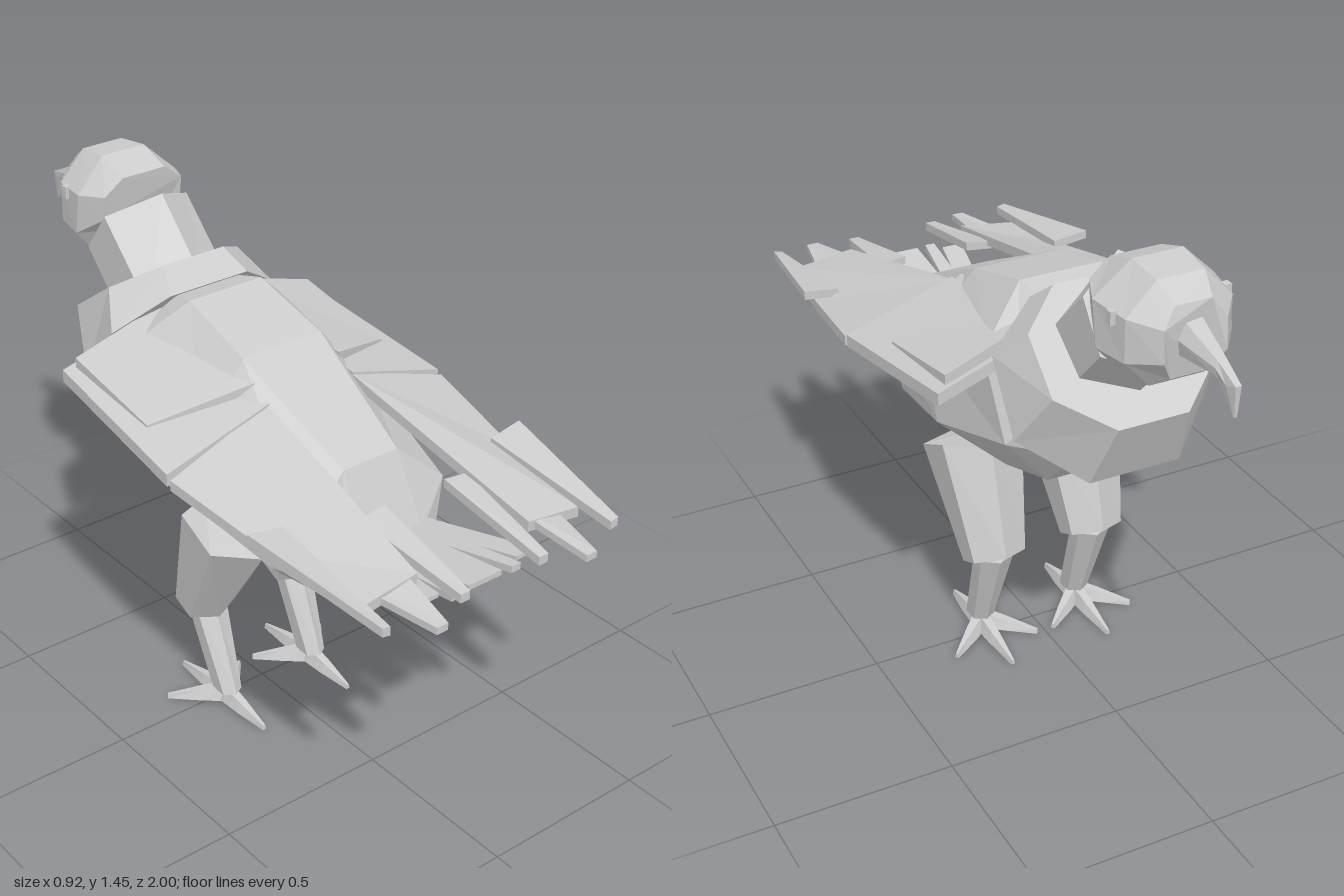
import * as THREE from 'three';

const grey = new THREE.MeshStandardMaterial({ color: 0xcccccc });
grey.name = 'light grey';

// Faceted solid through rings of [x, y, z] points, capped at both ends, turned outward
function loft(name, rings) {
  const n = rings[0].length, tris = [];
  for (let r = 0; r < rings.length - 1; r++) {
    for (let i = 0; i < n; i++) {
      const j = (i + 1) % n, a = rings[r], b = rings[r + 1];
      tris.push([a[i], a[j], b[j]], [a[i], b[j], b[i]]);
    }
  }
  const flat = (ring) => ring.map((p) => new THREE.Vector2(p[0], p[1] * 0.3 + p[2]));
  const cap = (ring, flip) => {
    const ccw = !THREE.ShapeUtils.isClockWise(flat(ring));
    for (const f of THREE.ShapeUtils.triangulateShape(flat(ring), [])) {
      const t = f.map((k) => ring[k]);
      // triangles follow the ring order when counter-clockwise
      const area = new THREE.Vector2(...[0, 0]);
      const [p, q, s] = f.map((k) => flat(ring)[k]);
      area.x = (q.x - p.x) * (s.y - p.y) - (q.y - p.y) * (s.x - p.x);
      const sameOrder = (area.x > 0) === ccw;
      tris.push(sameOrder !== flip ? t : t.reverse());
    }
  };
  cap(rings[0], true);
  cap(rings[rings.length - 1], false);
  const v = (p) => new THREE.Vector3(...p);
  const c = v(rings[0][0]);
  let volume = 0;
  for (const [a, b, d] of tris) {
    volume += v(a).sub(c).dot(v(b).sub(c).cross(v(d).sub(c)));
  }
  if (volume < 0) tris.forEach((t) => t.reverse());
  const g = new THREE.BufferGeometry();
  g.setAttribute('position', new THREE.Float32BufferAttribute(tris.flat(2), 3));
  g.computeVertexNormals();
  const mesh = new THREE.Mesh(g, grey);
  mesh.name = name;
  return mesh;
}

// Symmetric ring from half-profile points [z, y, halfWidth], top to bottom
const ring = (...rows) => [
  ...rows.map(([z, y, w]) => [w, y, z]),
  ...rows.slice().reverse().map(([z, y, w]) => [-w, y, z]),
];

// Hexagon with a ridge at the back and the front
const hex = (x, w, back, rear, fore, front) => [
  [x, back[1], back[0]], [x + w, rear[1], rear[0]], [x + w, fore[1], fore[0]],
  [x, front[1], front[0]], [x - w, fore[1], fore[0]], [x - w, rear[1], rear[0]],
];

// Thin plate below an outline of [x, y, z] points
const slab = (name, side, pts, t) => {
  const top = pts.map(([x, y, z]) => [x * side, y, z]);
  return loft(name, [top, top.map(([x, y, z]) => [x, y - t, z])]);
};

// Tapered toe from the ankle to a pointed tip
function toe(x, z, dx, dz) {
  const len = Math.hypot(dx, dz), nx = -dz / len, nz = dx / len;
  const section = (f, w, lo, hi) => {
    const px = x + dx * f, pz = z + dz * f;
    return [
      [px + nx * w, lo, pz + nz * w], [px + nx * w * 0.5, hi, pz + nz * w * 0.5],
      [px - nx * w * 0.5, hi, pz - nz * w * 0.5], [px - nx * w, lo, pz - nz * w],
    ];
  };
  return loft('toe', [section(-0.08, 0.028, 0.012, 0.06), section(0.45, 0.022, 0.008, 0.038), section(1, 0.006, 0, 0.014)]);
}

function createWing(side) {
  const wing = new THREE.Group();
  wing.name = side > 0 ? 'leftWing' : 'rightWing';
  wing.add(
    slab('innerWing', side, [[0.15, 1.11, -0.3], [0.43, 1.025, -0.32], [0.46, 0.955, 0.2], [0.14, 1.055, 0.21]], 0.035),
    slab('wingCovert', side, [[0.13, 1.15, -0.28], [0.4, 1.06, -0.3], [0.4, 1.0, 0.03], [0.14, 1.09, 0.15]], 0.03),
    slab('outerWing', side, [[0.14, 1.05, 0.2], [0.46, 0.945, 0.215], [0.41, 0.885, 0.56], [0.365, 0.86, 0.84], [0.185, 0.885, 0.84]], 0.03),
    slab('outerFeather', side, [[0.35, 0.925, 0.53], [0.455, 0.94, 0.525], [0.39, 0.875, 0.95], [0.365, 0.87, 0.95]], 0.025),
    slab('middleFeather', side, [[0.18, 0.91, 0.65], [0.34, 0.875, 0.65], [0.265, 0.85, 1], [0.23, 0.85, 1]], 0.02),
    slab('innerFeather', side, [[0.1, 0.935, 0.62], [0.18, 0.925, 0.62], [0.145, 0.865, 0.95], [0.115, 0.865, 0.95]], 0.025),
  );
  return wing;
}

function createLeg(side) {
  const x = 0.155 * side, leg = new THREE.Group();
  leg.name = side > 0 ? 'leftLeg' : 'rightLeg';
  leg.add(
    loft('thigh', [
      hex(x, 0.122, [0.2, 0.575], [0.13, 0.6], [0, 0.665], [-0.06, 0.65]),
      hex(x, 0.08, [0, 0.275], [-0.03, 0.29], [-0.1, 0.322], [-0.14, 0.335]),
    ]),
    loft('shank', [
      hex(x, 0.052, [-0.02, 0.31], [-0.04, 0.31], [-0.085, 0.31], [-0.105, 0.3]),
      hex(x, 0.032, [0.08, 0.045], [0.06, 0.045], [0.01, 0.045], [-0.01, 0.045]),
    ]),
    toe(x, 0.03, 0, -0.21), toe(x, 0.03, 0, 0.18),
    toe(x, 0.03, 0.13, -0.11), toe(x, 0.03, -0.13, -0.11),
  );
  return leg;
}

export function createModel() {
  const bird = new THREE.Group();
  bird.name = 'bird';

  // Trunk, collar and neck
  bird.add(loft('body', [
    ring([0.55, 0.745, 0.1], [0.53, 0.69, 0.16], [0.515, 0.66, 0.16], [0.5, 0.61, 0.1]),
    ring([0.45, 0.95, 0.09], [0.48, 0.83, 0.23], [0.35, 0.66, 0.24], [0.325, 0.53, 0.1]),
    ring([0.085, 1.13, 0.13], [0.1, 0.96, 0.28], [-0.02, 0.755, 0.3], [-0.075, 0.6, 0.12]),
    ring([-0.16, 1.2, 0.12], [-0.25, 1.07, 0.27], [-0.37, 0.86, 0.27], [-0.32, 0.685, 0.12]),
    ring([-0.25, 1.18, 0.1], [-0.3, 1.08, 0.2], [-0.42, 0.95, 0.2], [-0.45, 0.82, 0.11]),
  ]));
  bird.add(loft('collar', [
    ring([-0.235, 1.187, 0.13], [-0.31, 1.09, 0.275], [-0.44, 0.91, 0.28], [-0.56, 0.81, 0.13]),
    ring([-0.305, 1.245, 0.1], [-0.4, 1.178, 0.22], [-0.55, 1.07, 0.23], [-0.647, 1.0, 0.1]),
  ]));
  bird.add(loft('neck', [
    hex(0, 0.14, [-0.25, 1.17], [-0.32, 1.11], [-0.42, 0.99], [-0.46, 0.93]),
    hex(0, 0.14, [-0.45, 1.38], [-0.53, 1.32], [-0.62, 1.2], [-0.66, 1.14]),
  ]));

  // Head and eyes
  bird.add(loft('head', [
    ring([-0.535, 1.415, 0.07], [-0.54, 1.37, 0.13], [-0.55, 1.3, 0.13], [-0.57, 1.25, 0.07]),
    ring([-0.635, 1.45, 0.07], [-0.62, 1.36, 0.165], [-0.64, 1.24, 0.165], [-0.65, 1.14, 0.08]),
    ring([-0.74, 1.438, 0.065], [-0.74, 1.355, 0.145], [-0.74, 1.24, 0.145], [-0.74, 1.165, 0.075]),
    ring([-0.8, 1.395, 0.05], [-0.815, 1.345, 0.085], [-0.82, 1.26, 0.085], [-0.79, 1.2, 0.05]),
  ]));
  for (const side of [-1, 1]) {
    const eye = new THREE.Mesh(new THREE.BoxGeometry(0.03, 0.035, 0.022), grey);
    eye.name = 'eye';
    eye.position.set(0.15 * side, 1.345, -0.695);
    bird.add(eye);
  }

  // Hooked beak
  bird.add(loft('beak', [
    ring([-0.79, 1.355, 0.025], [-0.8, 1.31, 0.045], [-0.8, 1.265, 0.035]),
    ring([-0.93, 1.305, 0.012], [-0.93, 1.29, 0.02], [-0.925, 1.27, 0.018]),
    ring([-1, 1.272, 0.008], [-0.97, 1.262, 0.014], [-0.935, 1.262, 0.014]),
    ring([-0.995, 1.19, 0.003], [-0.99, 1.19, 0.005], [-0.984, 1.19, 0.003]),
  ]));

  // Fanned tail feathers, rising toward the tips
  const tailY = (z) => 0.757 + (z - 0.5) * 0.16;
  const feather = (x0, x1, x2, x3, end) => [[x0, 0.48], [x1, 0.48], [x2, end], [x3, end]].map(([x, z]) => [x, tailY(z), z]);
  bird.add(slab('tailCentre', 1, feather(-0.06, 0.06, 0.055, -0.055, 0.885), 0.015));
  for (const side of [-1, 1]) {
    bird.add(slab('tailFeather', side, feather(0.03, 0.1, 0.115, 0.085, 0.89), 0.02));
    bird.add(slab('tailFeather', side, feather(0.06, 0.125, 0.195, 0.13, 0.86), 0.012));
    bird.add(createWing(side), createLeg(side));
  }
  return bird;
}
